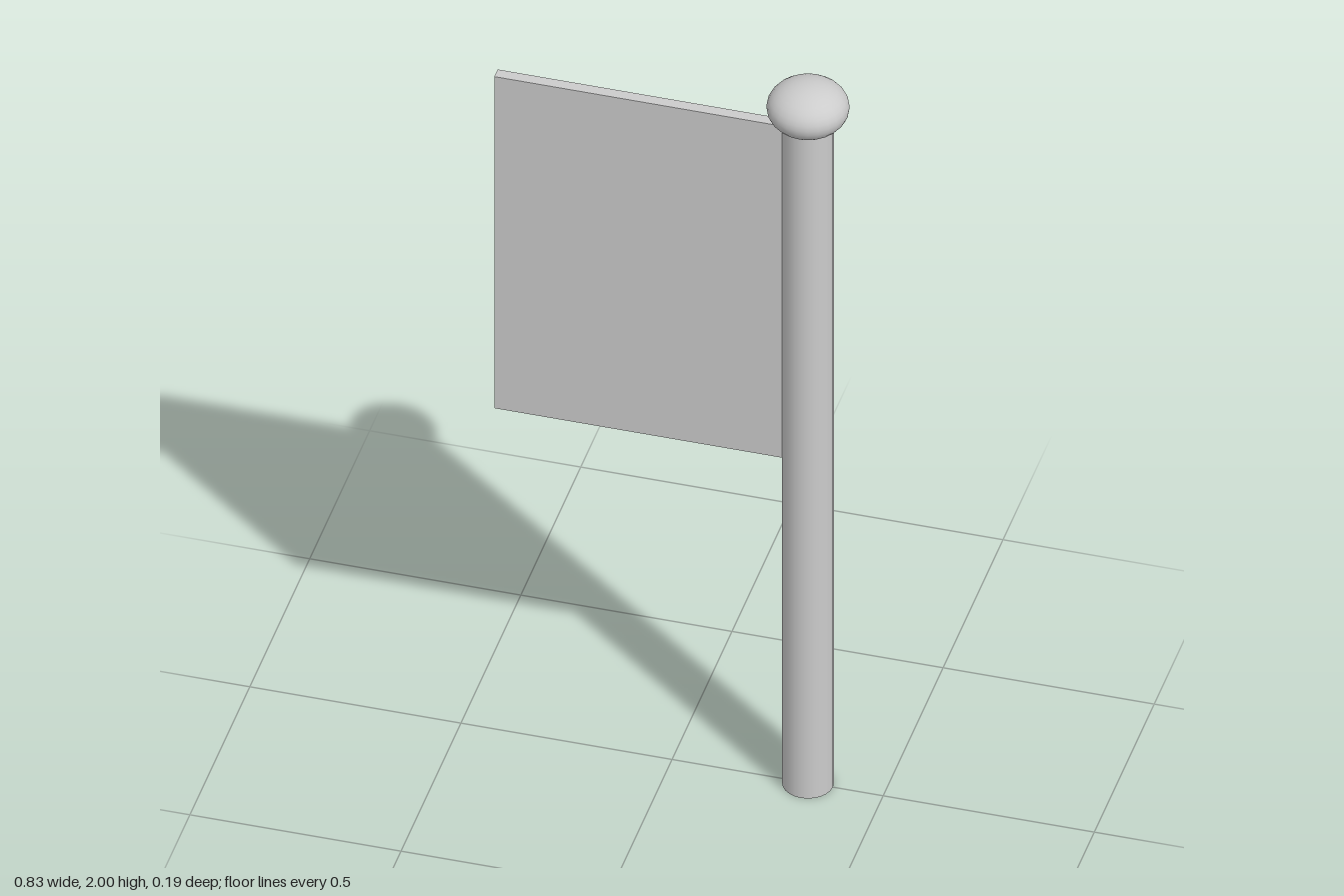
import * as THREE from 'three';

export function createModel() {
  const model = new THREE.Group();
  const material = new THREE.MeshStandardMaterial({ color: 0xcccccc });
  const poleX = 0.322;

  const add = (name, geometry, x, y) => {
    const mesh = new THREE.Mesh(geometry, material);
    mesh.name = name;
    mesh.position.set(x, y, 0);
    model.add(mesh);
    return mesh;
  };

  // Upright pole, its top hidden inside the finial
  const poleHeight = 1.9;
  add('pole', new THREE.CylinderGeometry(0.059, 0.059, poleHeight, 24), poleX, poleHeight / 2);

  // Flattened ball on top
  const finial = new THREE.SphereGeometry(0.095, 24, 16);
  finial.scale(1, 0.063 / 0.095, 1);
  add('finial', finial, poleX, 1.937);

  // Thin flat flag, its inner edge set into the pole
  const flagLeft = -0.417, flagRight = 0.29, flagBottom = 0.93, flagTop = 1.88;
  add('flag',
    new THREE.BoxGeometry(flagRight - flagLeft, flagTop - flagBottom, 0.028),
    (flagLeft + flagRight) / 2, (flagBottom + flagTop) / 2);

  return model;
}
